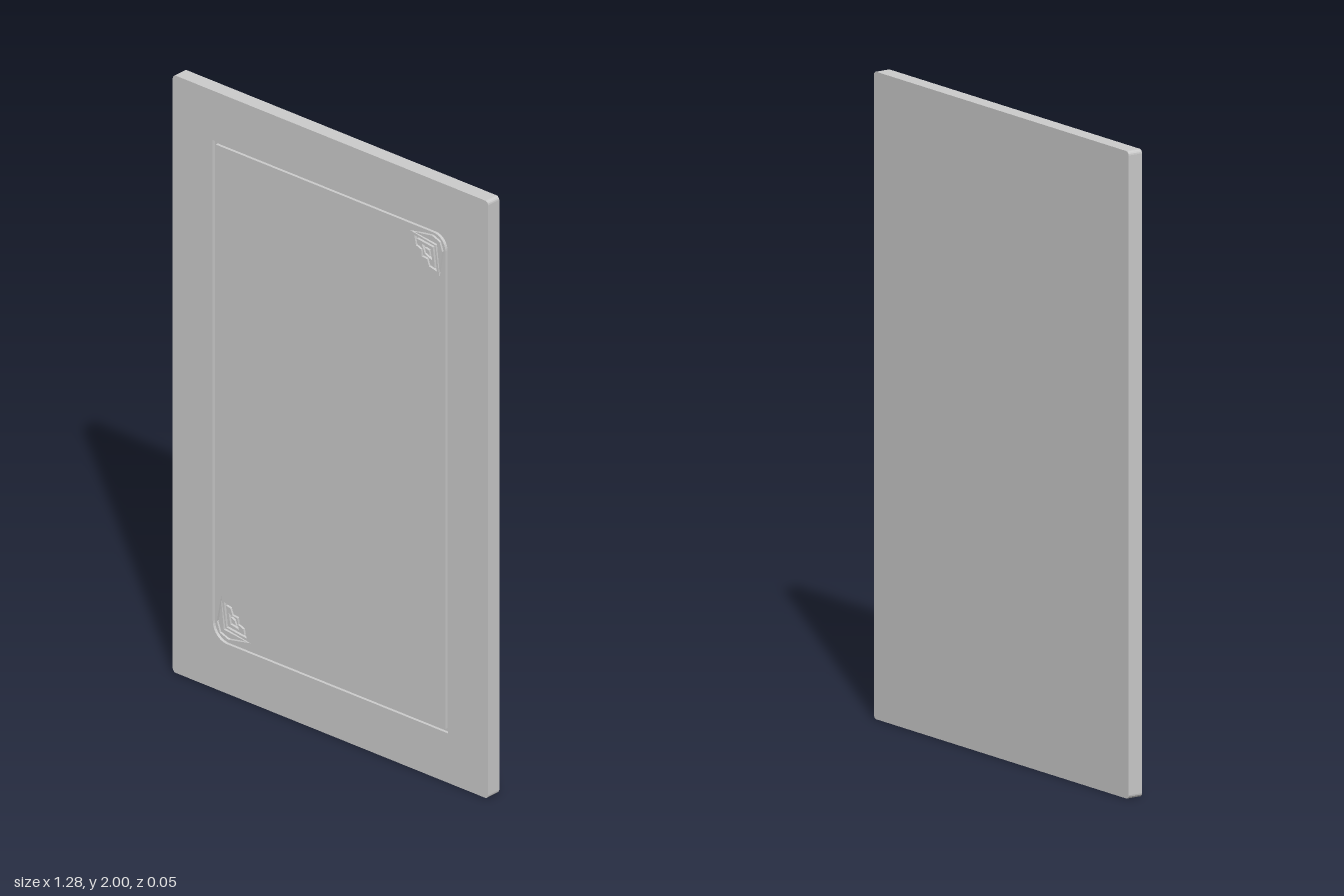
import * as THREE from 'three';

const W = 0.64, H = 1, T = 0.05, GROOVE = 0.01; // half width, half height, thickness, groove depth
const material = new THREE.MeshStandardMaterial({ color: 0xcccccc });
const V = (x, y) => new THREE.Vector2(x, y);

// Moves a counter-clockwise closed outline outwards by d, with limited mitres
function offset(points, d) {
  const n = points.length;
  return points.map((p, i) => {
    const a = p.clone().sub(points[(i + n - 1) % n]).normalize();
    const b = points[(i + 1) % n].clone().sub(p).normalize();
    const na = V(a.y, -a.x), nb = V(b.y, -b.x);
    const m = na.clone().add(nb).normalize();
    return p.clone().addScaledVector(m, d / Math.max(m.dot(na), 0.4));
  });
}

function arc(cx, cy, r, from, steps = 10) {
  return Array.from({ length: steps + 1 }, (_, i) => {
    const a = from + (i / steps) * Math.PI / 2;
    return V(cx + r * Math.cos(a), cy + r * Math.sin(a));
  });
}

const turn = (points) => points.map((p) => V(-p.x, -p.y));

function plate(name, outline, holes, z0, z1) {
  const shape = new THREE.Shape(outline);
  shape.holes = holes.map((h) => new THREE.Path(h));
  const geometry = new THREE.ExtrudeGeometry(shape, { depth: z1 - z0, bevelEnabled: false });
  const mesh = new THREE.Mesh(geometry, material);
  mesh.position.z = z0;
  mesh.name = name;
  return mesh;
}

export function createModel() {
  const group = new THREE.Group();
  group.name = 'engravedPanel';
  const z0 = T / 2 - GROOVE, z1 = T / 2;

  // Slab outline with slightly rounded corners
  const r = 0.012;
  const halfSlab = [...arc(-W + r, -H + r, r, Math.PI, 4), ...arc(W - r, -H + r, r, 1.5 * Math.PI, 4)];
  const slab = [...halfSlab, ...turn(halfSlab)];

  // Frame groove: two opposite corners rounded, two square
  const fx = 0.472, fy = 0.829, fr = 0.053;
  const halfFrame = [...arc(-fx + fr, -fy + fr, fr, Math.PI), V(fx, -fy)];
  const frame = { name: 'innerPanel', path: [...halfFrame, ...turn(halfFrame)], width: 0.011, children: [] };

  // Corner ornament, measured from the frame corner
  const place = (pairs) => pairs.map(([u, v]) => V(-fx + u * 0.0053, -fy + v * 0.0053));
  const chevron = place([[5.5, 26.5], [2.8, 11], [5, 5], [11, 2.8], [26.5, 5.5], [8, 8]]);
  const fan = place([[10, 10], [24, 8.3], [23, 13], [19, 14.5], [18.5, 18.5], [14.5, 19], [13, 23], [8.3, 24]]);
  const bud = place([[13, 13], [18, 12], [16.2, 16.2], [12, 18]]);
  for (const f of [(p) => p, turn]) {
    frame.children.push(
      { name: 'cornerChevron', path: f(chevron), width: 0.007, children: [] },
      { name: 'cornerFan', path: f(fan), width: 0.007, children: [
        { name: 'cornerBud', path: f(bud), width: 0.007, children: [] },
      ] },
    );
  }

  // Every groove is the gap between a hole and the raised island inside it
  const outer = (g) => offset(g.path, g.width / 2);
  function island(g) {
    group.add(plate(g.name, offset(g.path, -g.width / 2), g.children.map(outer), z0, z1));
    g.children.forEach(island);
  }

  group.add(plate('backSlab', slab, [], -T / 2, z0));
  group.add(plate('outerBorder', slab, [outer(frame)], z0, z1));
  island(frame);

  group.position.y = H;
  return group;
}
